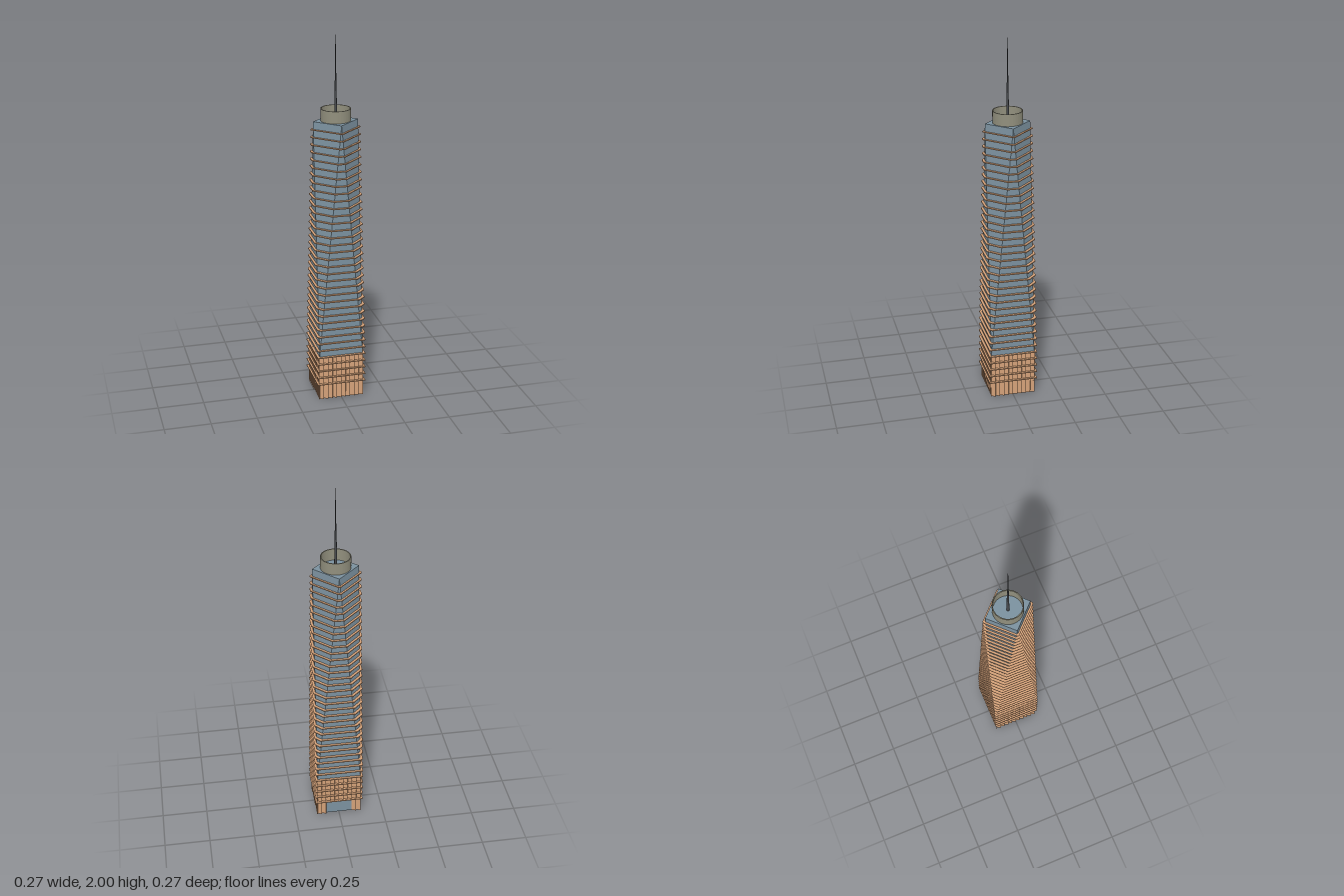
import * as THREE from 'three';
import { toCreasedNormals } from 'three/addons/utils/BufferGeometryUtils.js';

const material = (name, color) => {
  const m = new THREE.MeshStandardMaterial({ color });
  m.name = name;
  return m;
};

const BASE_TOP = 0.255, ROOF = 1.55, HALF = 0.122;

// Eight-cornered section that turns from a square (t = 0) into a diamond (t = 1)
function section(half, t) {
  const c = half * (1 - t);
  return [[c, half], [half, c], [half, -c], [c, -half], [-c, -half], [-half, -c], [-half, c], [-c, half]];
}

function towerGeometry() {
  const low = section(HALF, 0), high = section(HALF, 1), p = [];
  const tri = (...pts) => pts.forEach(([[x, z], y]) => p.push(x, y, z));
  for (let i = 0; i < 8; i++) {
    const j = (i + 1) % 8;
    if (i % 2) tri([low[i], BASE_TOP], [low[j], BASE_TOP], [high[i], ROOF]);
    else tri([low[i], BASE_TOP], [high[j], ROOF], [high[i], ROOF]);
  }
  // roof and underside
  for (let i = 0; i < 8; i += 2) {
    tri([[0, 0], ROOF], [high[i], ROOF], [high[i + 1], ROOF]);
    const a = low[i], b = low[(i + 2) % 8];
    tri([[0, 0], BASE_TOP], [b, BASE_TOP], [a, BASE_TOP]);
  }
  // put every triangle's front on the outside
  const mid = new THREE.Vector3(0, 0.9, 0), v = [0, 1, 2].map(() => new THREE.Vector3());
  for (let i = 0; i < p.length; i += 9) {
    v.forEach((q, k) => q.fromArray(p, i + k * 3));
    const n = v[1].clone().sub(v[0]).cross(v[2].clone().sub(v[0]));
    if (n.dot(v[0].clone().sub(mid)) < 0) {
      v[2].toArray(p, i + 3);
      v[1].toArray(p, i + 6);
    }
  }
  const g = new THREE.BufferGeometry();
  g.setAttribute('position', new THREE.Float32BufferAttribute(p, 3));
  g.computeVertexNormals();
  return g;
}

export function createModel() {
  const model = new THREE.Group();
  const glass = material('blue grey glass', 0x7b919f);
  const timber = material('warm timber', 0xd2a078);
  const stone = material('grey olive metal', 0x918f7d);
  const steel = material('dark steel', 0x46494c);

  const add = (name, geometry, mat, x = 0, y = 0, z = 0, parent = model) => {
    const mesh = new THREE.Mesh(geometry, mat);
    mesh.name = name;
    mesh.position.set(x, y, z);
    parent.add(mesh);
    return mesh;
  };

  add('towerBody', towerGeometry(), glass);
  add('baseCore', new THREE.BoxGeometry(0.234, BASE_TOP, 0.234), glass, 0, BASE_TOP / 2, 0);

  // Angled upright louvres on the four sides, with an entrance gap at the back
  const count = 10, pitch = 0.248 / count, tilt = 0.4;
  for (let side = 0; side < 4; side++) {
    const face = new THREE.Group();
    face.name = 'louvreWall';
    face.rotation.y = side * Math.PI / 2;
    model.add(face);
    for (let i = 0; i < count; i++) {
      const x = (i - (count - 1) / 2) * pitch;
      const bottom = side === 2 && Math.abs(x) < 0.07 ? 0.09 : 0;
      const h = BASE_TOP - bottom;
      const slat = new THREE.BoxGeometry(pitch / Math.cos(tilt), h, 0.003);
      add('louvre', slat, timber, x, bottom + h / 2, 0.1205, face).rotation.y = -tilt;
    }
  }

  // Thin floor ledges following the changing outline
  for (let i = 0; i < 36; i++) {
    const y = 0.09 + i * 0.0405;
    const t = Math.max(0, (y - BASE_TOP) / (ROOF - BASE_TOP));
    const outline = new THREE.Shape(section(0.135, t).map(([x, z]) => new THREE.Vector2(x, z)));
    const g = new THREE.ExtrudeGeometry(outline, { depth: 0.005, bevelEnabled: false });
    g.rotateX(-Math.PI / 2);
    add('floorLedge', g, timber, 0, y - 0.0025, 0);
  }

  // Open ring on the roof
  const ring = new THREE.Shape().absarc(0, 0, 0.08, 0, Math.PI * 2);
  ring.holes.push(new THREE.Path().absarc(0, 0, 0.075, 0, Math.PI * 2, true));
  const ringGeometry = new THREE.ExtrudeGeometry(ring, { depth: 0.065, bevelEnabled: false, curveSegments: 40 });
  ringGeometry.rotateX(-Math.PI / 2);
  add('roofRing', toCreasedNormals(ringGeometry, 0.6), stone, 0, ROOF, 0);

  // Mast in two steps
  add('lowerMast', new THREE.CylinderGeometry(0.004, 0.008, 0.25, 12), steel, 0, ROOF + 0.125, 0);
  add('upperMast', new THREE.CylinderGeometry(0.0015, 0.003, 0.2, 10), steel, 0, 1.9, 0);

  return model;
}
